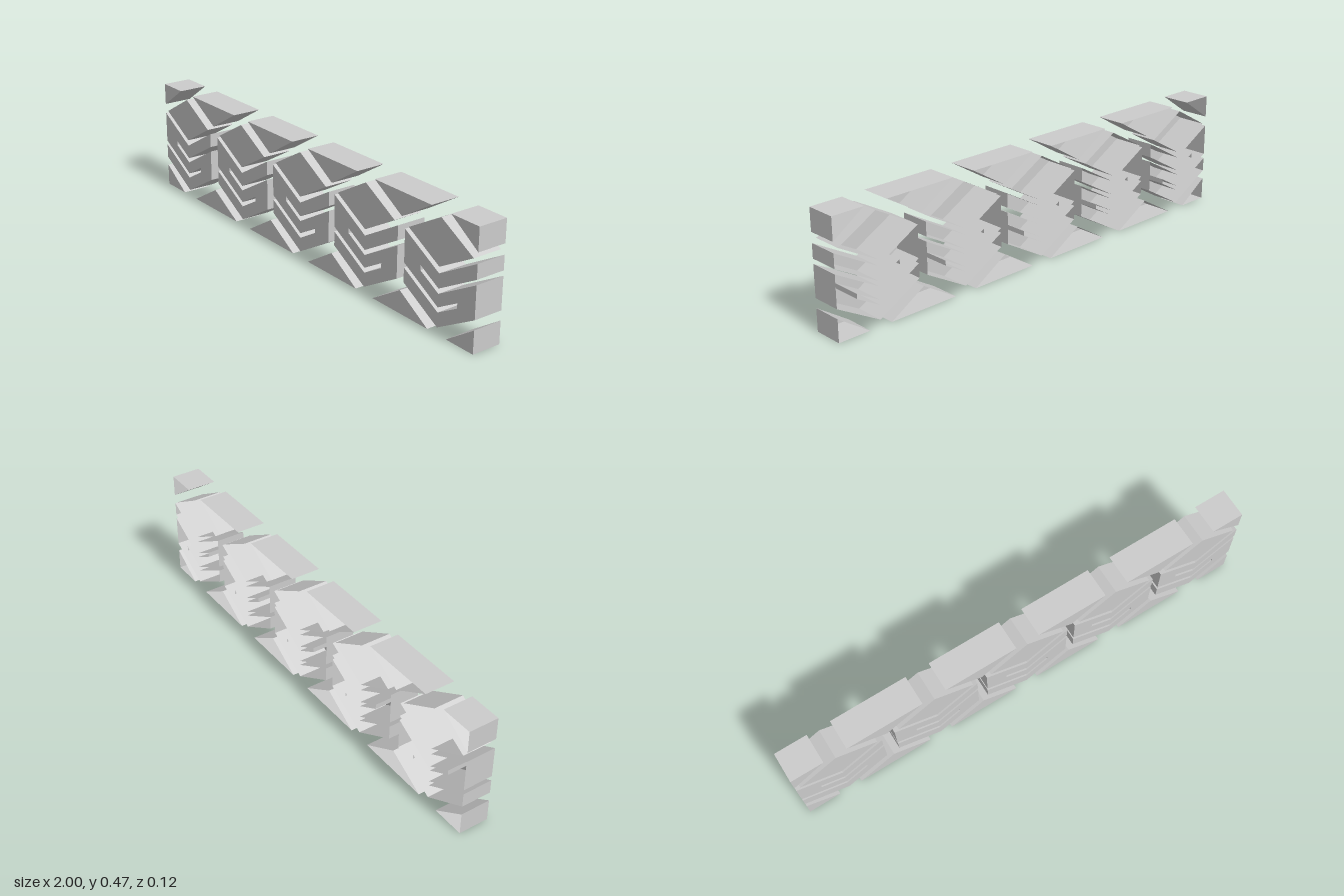
import * as THREE from 'three';

const DEPTH = 0.062; // half thickness
const TOP = 0.472;
const material = new THREE.MeshStandardMaterial({ color: 0xcccccc, flatShading: true, side: THREE.DoubleSide });

// Shallow tray: a front face with side walls, open at the back. Outline is counter-clockwise.
function tray(name, outline) {
  const pts = outline.map(([x, y]) => new THREE.Vector2(x, y));
  const pos = [];
  const add = (p, z) => pos.push(p.x, p.y, z);
  for (const tri of THREE.ShapeUtils.triangulateShape(pts, [])) {
    for (const i of tri) add(pts[i], DEPTH);
  }
  pts.forEach((a, i) => {
    const b = pts[(i + 1) % pts.length];
    add(a, -DEPTH); add(b, -DEPTH); add(b, DEPTH);
    add(a, -DEPTH); add(b, DEPTH); add(a, DEPTH);
  });
  const geometry = new THREE.BufferGeometry();
  geometry.setAttribute('position', new THREE.Float32BufferAttribute(pos, 3));
  geometry.computeVertexNormals();
  const mesh = new THREE.Mesh(geometry, material);
  mesh.name = name;
  return mesh;
}

// Chevron line: height at x for a V whose lowest point is at y = base
const SLOPE = 0.565;
const W = 0.183; // hexagon half width
const END = 0.096; // where the slots stop
const v = (x, base) => [x, base + Math.abs(x) * SLOPE];

function hexagon(x) {
  const group = new THREE.Group();
  group.name = 'hexagonTile';
  group.position.x = x;
  group.add(tray('diamond', [[0, 0.26], [0.164, 0.352], [0, 0.444], [-0.164, 0.352]]));
  // S-shaped body: one slot opens to the right, the other to the left
  group.add(tray('slottedChevron', [
    v(-W, 0.027), v(0, 0.027), v(W, 0.027),
    v(W, 0.157), v(0, 0.157), v(-END, 0.157),
    v(-END, 0.177), v(0, 0.177), v(W, 0.177),
    v(W, 0.235), v(0, 0.235), v(-W, 0.235),
    v(-W, 0.105), v(0, 0.105), v(END, 0.105),
    v(END, 0.085), v(0, 0.085), v(-W, 0.085),
  ]));
  return group;
}

export function createModel() {
  const model = new THREE.Group();
  model.name = 'hexagonFrieze';

  const centres = [-0.817, -0.396, 0.012, 0.413, 0.817];
  for (const x of centres) model.add(hexagon(x));

  // Triangles filling the gaps between neighbouring hexagons
  const RISE = 0.092;
  for (let i = 0; i < centres.length - 1; i++) {
    const a = centres[i] + 0.05, b = centres[i + 1] - 0.05, m = (a + b) / 2;
    model.add(tray('lowerTriangle', [[a, 0], [b, 0], [m, RISE]]));
    model.add(tray('upperTriangle', [[a, TOP], [m, TOP - RISE], [b, TOP]]));
  }

  // Half triangles at both ends
  const inner = 0.864;
  model.add(tray('lowerLeftCorner', [[inner, 0], [1, 0], [1, RISE]]));
  model.add(tray('upperLeftCorner', [[inner, TOP], [1, TOP - RISE], [1, TOP]]));
  model.add(tray('lowerRightCorner', [[-1, 0], [-inner, 0], [-1, RISE]]));
  model.add(tray('upperRightCorner', [[-1, TOP], [-1, TOP - RISE], [-inner, TOP]]));
  return model;
}
